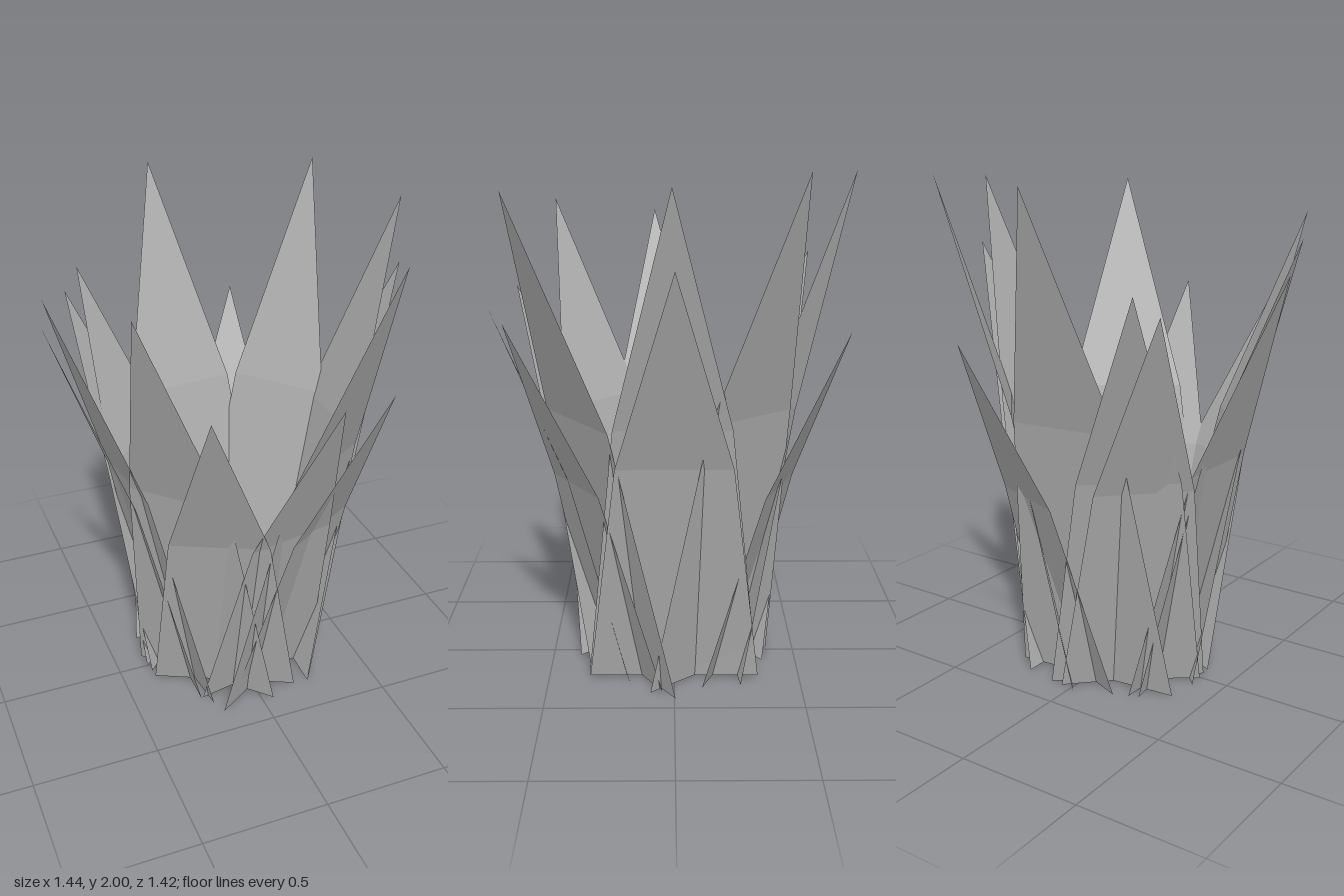
import * as THREE from 'three';

const leafGray = new THREE.MeshStandardMaterial({
  name: 'leafGray', color: 0xb0b0b0, flatShading: true, side: THREE.DoubleSide,
});

// Ring radii at the foot, the bend and the tip of every leaf
const FOOT_R = 0.23, BEND_R = 0.445;

// Each leaf: tip x, tip y, tip z, half width at the bend
const LEAVES = [
  [-0.07, 1.98, -0.71, 0.225],
  [0.27, 1.41, -0.66, 0.18],
  [0.55, 2.0, -0.46, 0.205],
  [0.70, 1.96, 0.01, 0.22],
  [0.72, 1.69, 0.0, 0.22],
  [0.40, 1.93, 0.61, 0.235],
  [0.38, 1.46, 0.62, 0.185],
  [0.14, 1.49, 0.71, 0.18],
  [-0.32, 1.50, 0.65, 0.193],
  [-0.53, 1.84, 0.50, 0.205],
  [-0.72, 1.78, 0.08, 0.20],
  [-0.72, 1.66, -0.01, 0.19],
  [-0.43, 1.63, -0.57, 0.195],
  [-0.50, 1.56, -0.51, 0.19],
];

// Wide foot, narrower bend, pointed tip: a quad topped by a triangle
function leafGeometry(x, y, z, half) {
  const out = new THREE.Vector3(x, 0, z).normalize();
  const side = new THREE.Vector3(out.z, 0, -out.x);
  const at = (r, h, w) => out.clone().multiplyScalar(r).addScaledVector(side, w).setY(h);
  const points = [
    at(FOOT_R, 0, -half * 1.53), at(FOOT_R, 0, half * 1.53),
    at(BEND_R, y * 0.55, half), at(BEND_R, y * 0.55, -half),
    new THREE.Vector3(x, y, z),
  ];
  const geometry = new THREE.BufferGeometry().setFromPoints(points);
  geometry.setIndex([0, 1, 2, 0, 2, 3, 3, 2, 4]);
  const flat = geometry.toNonIndexed();
  flat.computeVertexNormals();
  return flat;
}

export function createModel() {
  const plant = new THREE.Group();
  plant.name = 'leafTuft';
  LEAVES.forEach((leaf, i) => {
    const mesh = new THREE.Mesh(leafGeometry(...leaf), leafGray);
    mesh.name = `leaf${i + 1}`;
    plant.add(mesh);
  });
  return plant;
}
